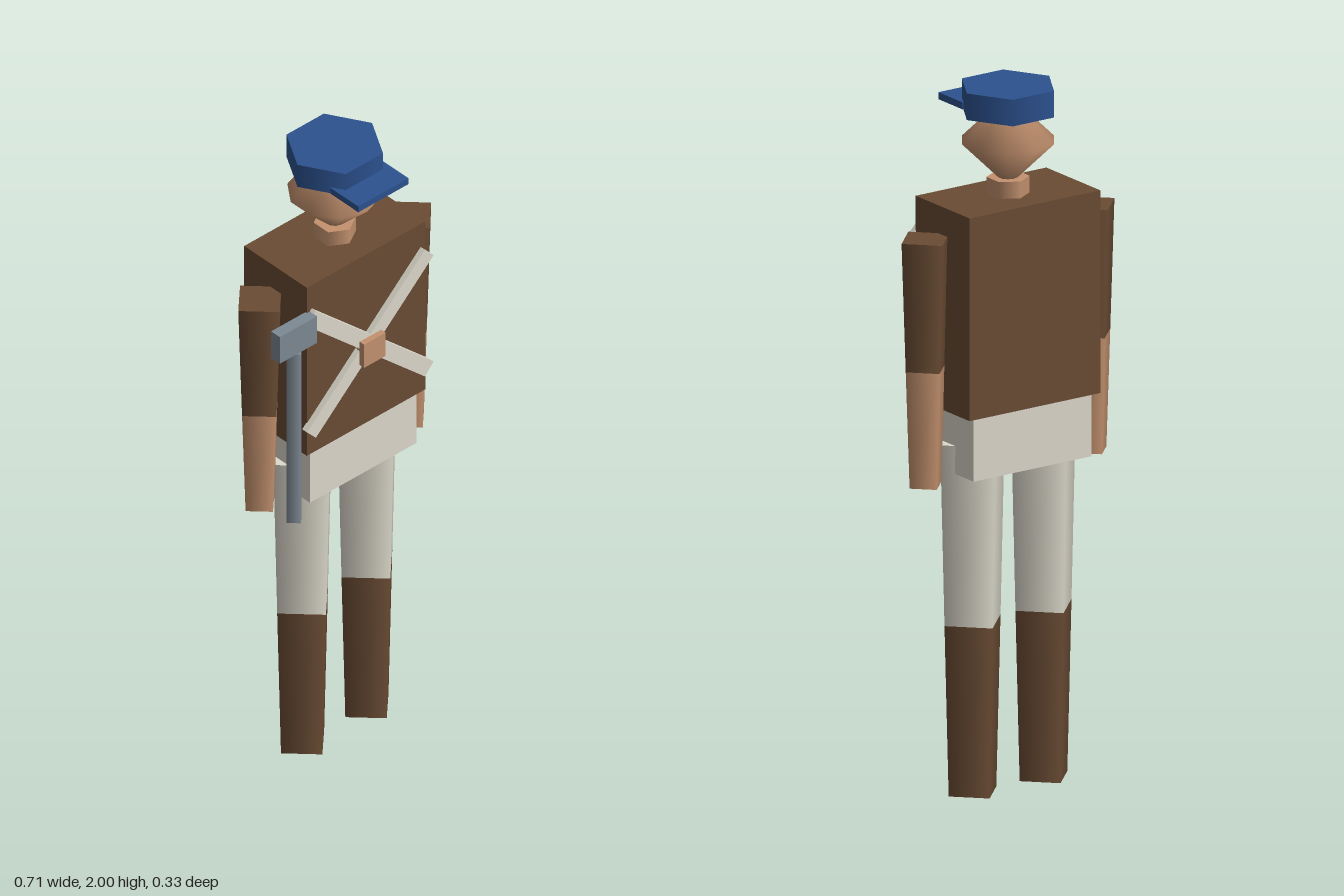
import * as THREE from 'three';

const mat = (name, color) => {
  const m = new THREE.MeshStandardMaterial({ color });
  m.name = name;
  return m;
};

export function createModel() {
  const brown = mat('brown cloth', 0x6a4c34);
  const skin = mat('skin', 0xc4926f);
  const cream = mat('cream cloth', 0xdedacc);
  const blue = mat('blue cap', 0x2c5290);
  const steel = mat('steel', 0x7e8a94);

  const model = new THREE.Group();
  model.name = 'soldier';
  const Z = -0.033; // depth of the body axis

  const add = (name, geometry, material, x, y, z) => {
    const mesh = new THREE.Mesh(geometry, material);
    mesh.name = name;
    mesh.position.set(x, y, z);
    model.add(mesh);
    return mesh;
  };
  const box = (name, material, w, h, d, x, y, z) =>
    add(name, new THREE.BoxGeometry(w, h, d), material, x, y, z);
  // Upright tapered prism between two heights
  const post = (name, material, rTop, rBottom, y0, y1, x, z, sides = 4) =>
    add(name, new THREE.CylinderGeometry(rTop, rBottom, y1 - y0, sides), material, x, (y0 + y1) / 2, z);

  // Trunk
  box('jacket', brown, 0.438, 0.58, 0.253, 0, 1.4, Z);
  box('hips', cream, 0.395, 0.18, 0.23, 0, 1.02, Z);

  // Limbs
  for (const [side, s] of [['left', 1], ['right', -1]]) {
    post(side + 'Boot', brown, 0.094, 0.08, 0, 0.49, s * 0.119, Z);
    post(side + 'Trouser', cream, 0.108, 0.094, 0.49, 1.01, s * 0.119, Z);
    post(side + 'Sleeve', brown, 0.08, 0.066, 1.24, 1.61, s * 0.277, Z);
    post(side + 'Forearm', skin, 0.066, 0.053, 0.905, 1.24, s * 0.277, Z);
  }

  // Head and neck
  post('neck', skin, 0.059, 0.059, 1.68, 1.738, 0, Z, 6);
  const head = add('head', new THREE.SphereGeometry(0.132, 10, 2), skin, 0, 1.842, Z);
  head.rotation.y = Math.PI / 2;

  // Cap with visor
  const crown = post('capCrown', blue, 0.138, 0.138, 1.924, 2, 0, Z, 6);
  crown.rotation.y = Math.PI / 2;
  box('capVisor', blue, 0.186, 0.02, 0.113, 0, 1.935, 0.107);

  // Crossed chest straps and buckle
  for (const s of [1, -1]) {
    const strap = box('chestStrap', cream, 0.593, 0.048, 0.02, 0, 1.392, 0.101);
    strap.rotation.z = s * 0.745;
  }
  box('buckle', skin, 0.08, 0.08, 0.03, 0, 1.38, 0.114);

  // Hatchet held on the right side
  post('hatchetHandle', steel, 0.028, 0.028, 0.93, 1.512, -0.277, 0.105);
  box('hatchetHead', steel, 0.138, 0.092, 0.035, -0.277, 1.557, 0.105);

  return model;
}
